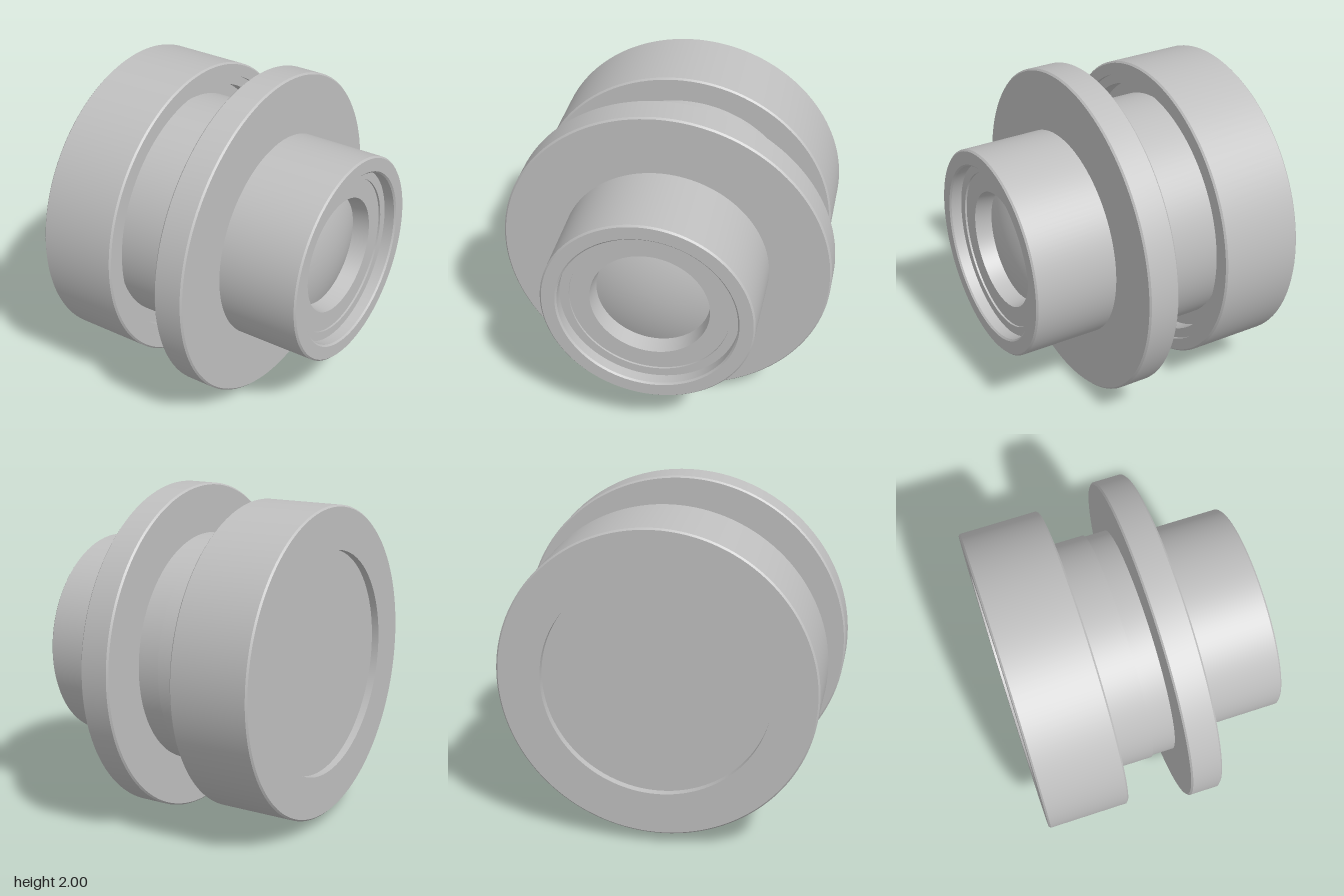
import * as THREE from 'three';
import { toCreasedNormals } from 'three/addons/utils/BufferGeometryUtils.js';

const SEGMENTS = 128;

export function createModel() {
  const model = new THREE.Group();
  model.name = 'turnedLensBody';
  const grey = new THREE.MeshStandardMaterial({ color: 0xbfbfbf });
  grey.name = 'satin grey';

  // All parts are turned about the x axis; profile points are [x, radius].
  function turned(name, profile) {
    const points = profile.map(([x, r]) => new THREE.Vector2(r, x));
    const geometry = toCreasedNormals(new THREE.LatheGeometry(points, SEGMENTS), 0.35);
    geometry.rotateZ(-Math.PI / 2);
    const mesh = new THREE.Mesh(geometry, grey);
    mesh.name = name;
    mesh.position.y = 1;
    model.add(mesh);
  }

  // Wide barrel: shallow dish at the rear, stepped groove around the neck
  turned('barrel', [
    [-0.735, 0], [-0.735, 0.67], [-0.78, 0.67],
    [-0.78, 0.92], [-0.77, 0.93],
    [-0.295, 0.93], [-0.285, 0.92],
    [-0.285, 0.85], [-0.31, 0.85], [-0.31, 0.79],
    [-0.4, 0.79], [-0.4, 0.71],
  ]);

  // Neck with a small step down towards the flange
  turned('neck', [[-0.4, 0.71], [-0.06, 0.71], [-0.06, 0.7], [0.08, 0.7]]);

  // Mounting flange with chamfered rims
  turned('flange', [
    [0.08, 0.7], [0.08, 0.99], [0.09, 1],
    [0.26, 1], [0.27, 0.99], [0.27, 0.63],
  ]);

  // Narrow tube with its stepped, tapering mouth
  turned('tube', [
    [0.27, 0.63], [0.77, 0.63], [0.78, 0.62],
    [0.78, 0.54], [0.77, 0.53],
    [0.705, 0.53], [0.705, 0.475],
    [0.693, 0.475], [0.693, 0.355], [0.59, 0.34],
  ]);

  // Domed lens at the bottom of the mouth
  const dome = [];
  for (let i = 0; i <= 12; i++) {
    const r = 0.34 * (1 - i / 12);
    dome.push([0.59 + 0.06 * (1 - (r / 0.34) ** 2), r]);
  }
  turned('lens', dome);

  return model;
}
